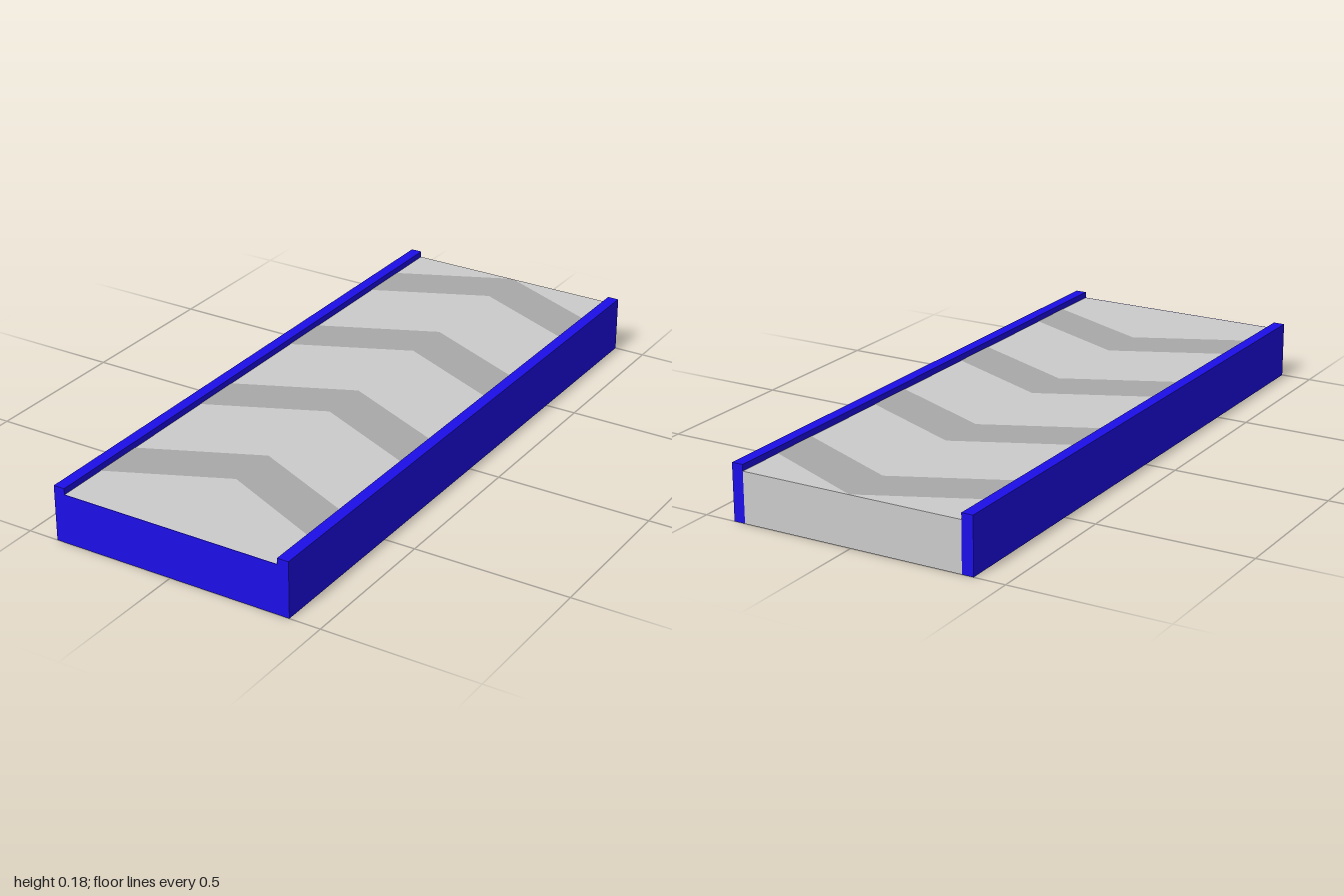
import * as THREE from 'three';

const WIDTH = 0.8, LENGTH = 2, RAIL = 0.037, RAIL_H = 0.18, BED_H = 0.16;
const INNER = WIDTH / 2 - RAIL; // half width between the rails
const PANEL = 0.002;            // thickness of the front panel

export function createModel() {
  const model = new THREE.Group();
  const grey = new THREE.MeshStandardMaterial({ color: 0xcccccc });
  const darkGrey = new THREE.MeshStandardMaterial({ color: 0xa9a9a9 });
  const blue = new THREE.MeshStandardMaterial({ color: 0x1c0ee8 });

  const add = (name, geometry, material, x, y, z) => {
    const mesh = new THREE.Mesh(geometry, material);
    mesh.name = name;
    mesh.position.set(x, y, z);
    model.add(mesh);
  };

  // Bed, with a coloured panel closing the front end only
  add('bed', new THREE.BoxGeometry(INNER * 2, BED_H, LENGTH - PANEL), grey, 0, BED_H / 2, -PANEL / 2);
  add('frontPanel', new THREE.BoxGeometry(INNER * 2, BED_H, PANEL), blue, 0, BED_H / 2, LENGTH / 2 - PANEL / 2);

  // Side rails, standing slightly above the bed
  for (const [name, side] of [['leftRail', 1], ['rightRail', -1]]) {
    add(name, new THREE.BoxGeometry(RAIL, RAIL_H, LENGTH), blue, side * (WIDTH - RAIL) / 2, RAIL_H / 2, 0);
  }

  // Chevron stripes pointing to the back, laid on the bed
  const step = 1 / 6;
  const chevron = new THREE.ShapeGeometry(new THREE.Shape([
    new THREE.Vector2(0, 0),
    new THREE.Vector2(-INNER, -step),
    new THREE.Vector2(-INNER, -2 * step),
    new THREE.Vector2(0, -step),
    new THREE.Vector2(INNER, -2 * step),
    new THREE.Vector2(INNER, -step),
  ])).rotateX(-Math.PI / 2);
  for (let i = 0; i < 4; i++) {
    add('chevron' + (i + 1), chevron, darkGrey, 0, BED_H + 0.001, -1 + i * 0.5);
  }

  return model;
}
